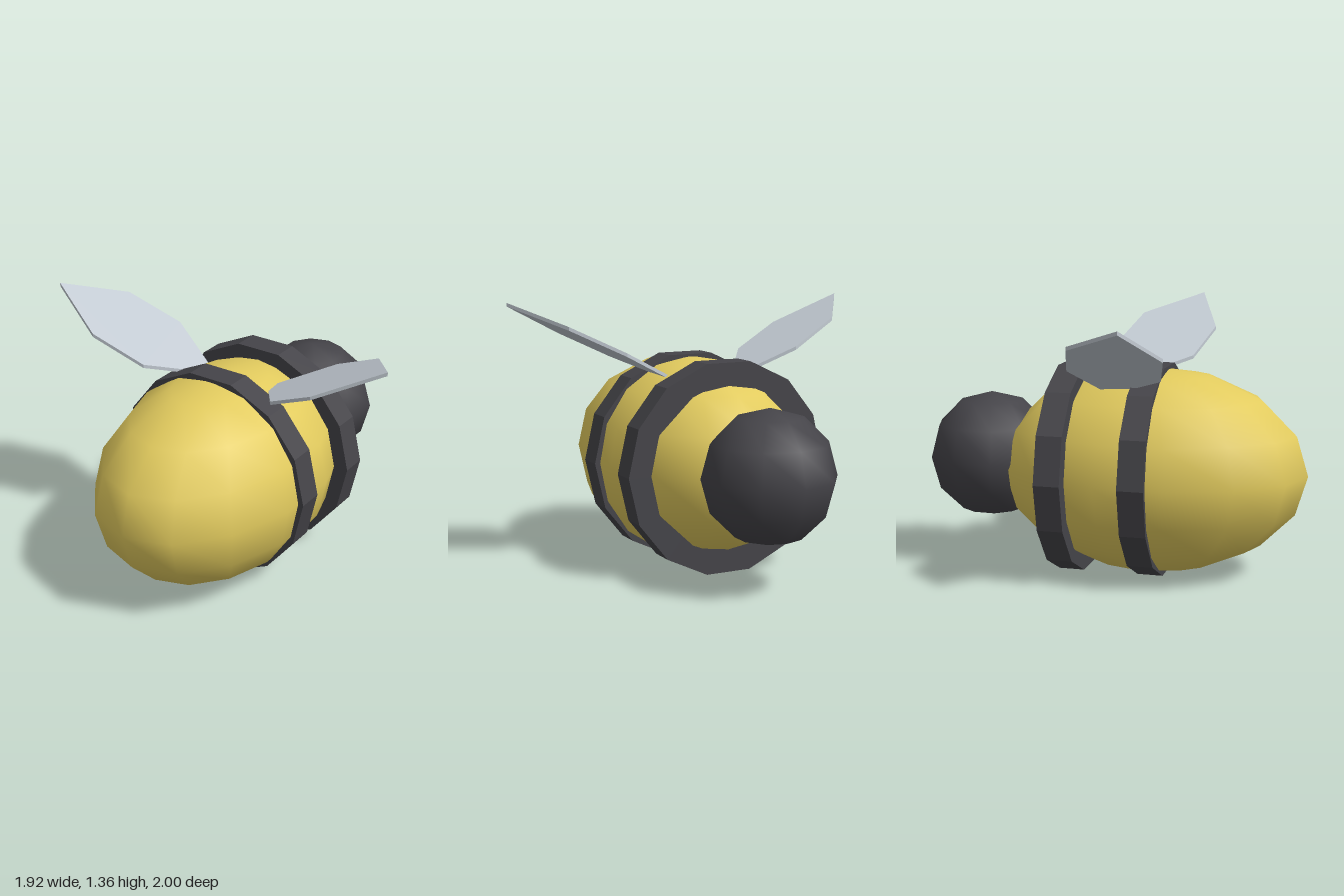
import * as THREE from 'three';

export function createModel() {
  const model = new THREE.Group();
  model.name = 'bee';

  const yellow = new THREE.MeshStandardMaterial({ color: 0xe2cb5e });
  yellow.name = 'honey yellow';
  const dark = new THREE.MeshStandardMaterial({ color: 0x454449, flatShading: false });
  dark.name = 'charcoal';
  const pale = new THREE.MeshStandardMaterial({ color: 0xc3cbd3 });
  pale.name = 'pale wing grey';

  const add = (name, geometry, material) => {
    const mesh = new THREE.Mesh(geometry, material);
    mesh.name = name;
    model.add(mesh);
    return mesh;
  };

  // Smooth low-poly ball with a vertex on the z axis
  const ball = (w, h, rx, ry, rz) =>
    new THREE.SphereGeometry(1, w, h).rotateY(Math.PI / 2).scale(rx, ry, rz);

  // Body and head
  add('body', ball(14, 8, 0.533, 0.527, 0.8), yellow).position.set(0, 0.5375, 0.2);
  add('head', ball(10, 6, 0.332, 0.332, 0.332), dark).position.set(0, 0.57, -0.668);

  // Two faceted disc bands around the body
  for (const [name, z] of [['frontBand', 0.22], ['rearBand', -0.198]]) {
    const disc = new THREE.CylinderGeometry(0.548, 0.548, 0.132, 14, 1, false, Math.PI / 2)
      .rotateX(Math.PI / 2).toNonIndexed();
    disc.computeVertexNormals();
    add(name, disc, dark).position.set(0, 0.537, z);
  }

  // Thin six-sided wings, rising outward from the back
  const outline = [[0.16, 0.02], [0.48, -0.11], [0.75, -0.03], [0.958, 0.27], [0.64, 0.4], [0.38, 0.33]];
  for (const [name, side] of [['leftWing', 1], ['rightWing', -1]]) {
    const shape = new THREE.Shape(outline.map(([x, z]) => new THREE.Vector2(side * x, z)));
    const wing = new THREE.ExtrudeGeometry(shape, { depth: 0.018, bevelEnabled: false })
      .rotateX(Math.PI / 2)
      .translate(0, side > 0 ? 0.889 : 0.875, 0);
    // Tilt by shearing upward with distance from the middle
    wing.applyMatrix4(new THREE.Matrix4().set(
      1, 0, 0, 0,
      side * 0.495, 1, 0, 0,
      0, 0, 1, 0,
      0, 0, 0, 1));
    add(name, wing, pale);
  }

  return model;
}
